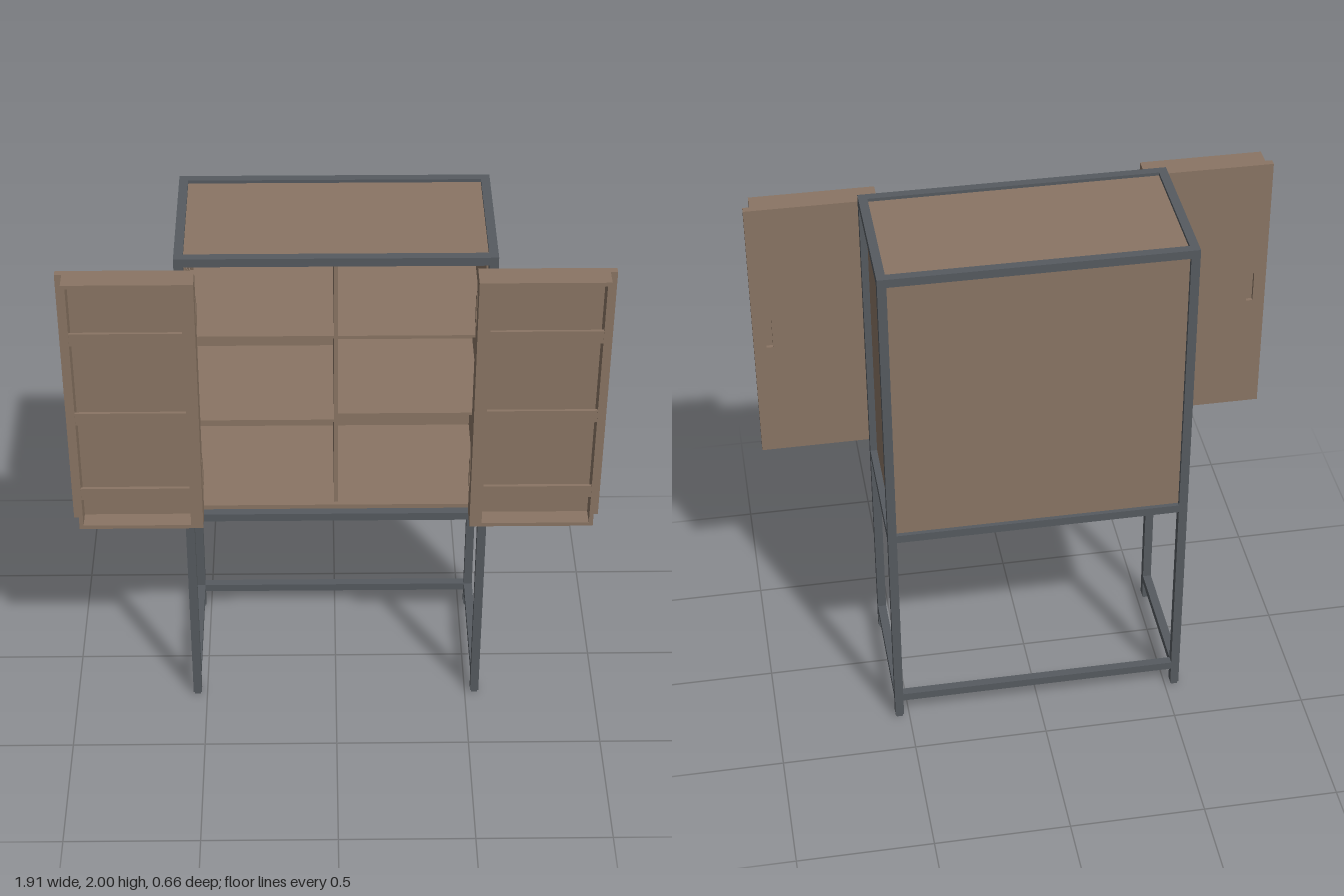
import * as THREE from 'three';

const steel = new THREE.MeshStandardMaterial({ color: 0x565b60 });
steel.name = 'dark steel';
const wood = new THREE.MeshStandardMaterial({ color: 0x8a7564 });
wood.name = 'brown wood';

// Box given by its limits on each axis
function box(parent, name, mat, [x0, x1], [y0, y1], [z0, z1]) {
  const mesh = new THREE.Mesh(new THREE.BoxGeometry(Math.abs(x1 - x0), y1 - y0, z1 - z0), mat);
  mesh.position.set((x0 + x1) / 2, (y0 + y1) / 2, (z0 + z1) / 2);
  mesh.name = name;
  parent.add(mesh);
  return mesh;
}

function rectangle(Type, x0, x1, y0, y1) {
  return new Type([[x0, y0], [x1, y0], [x1, y1], [x0, y1]].map(p => new THREE.Vector2(...p)));
}

const X = 0.553, ZF = 0.223, ZB = -0.328, T = 0.032;

function createFrame() {
  const frame = new THREE.Group();
  frame.name = 'frame';
  const across = [-X + T, X - T], along = [ZB + T, ZF - T];
  const front = [ZF - T, ZF], back = [ZB, ZB + T];
  for (const s of [-1, 1]) {
    const side = [s * (X - T), s * X];
    // Posts on slightly narrower feet
    for (const z of [front, back]) {
      box(frame, 'post', steel, side, [0.012, 2], z);
      box(frame, 'foot', steel, [s * (X - T + 0.004), s * (X - 0.004)], [0, 0.012], [z[0] + 0.004, z[1] - 0.004]);
    }
    for (const y of [0.083, 0.862, 2 - T]) box(frame, 'sideRail', steel, side, [y, y + T], along);
  }
  for (const y of [0.862, 2 - T]) box(frame, 'frontRail', steel, across, [y, y + T], front);
  for (const y of [0.083, 0.862, 2 - T]) box(frame, 'backRail', steel, across, [y, y + T], back);
  return frame;
}

// Side wall pierced by staggered rows of round holes
function perforatedWall() {
  const z0 = -0.297, z1 = 0.192, y0 = 0.88, y1 = 1.98;
  const shape = rectangle(THREE.Shape, z0, z1, y0, y1);
  const step = 0.055;
  for (let row = 0; row < 37; row++) {
    const odd = row % 2;
    for (let i = 0; i < 8 - odd; i++) {
      const hole = new THREE.Path();
      hole.absarc(-0.245 + (i + odd / 2) * step, 0.935 + row * step / 2, 0.007, 0, Math.PI * 2, true);
      shape.holes.push(hole);
    }
  }
  const geo = new THREE.ExtrudeGeometry(shape, { depth: 0.014, bevelEnabled: false, curveSegments: 8 });
  geo.rotateY(-Math.PI / 2);
  const mesh = new THREE.Mesh(geo, wood);
  mesh.position.x = -0.514;
  mesh.name = 'perforatedWall';
  return mesh;
}

function createCabinet() {
  const cabinet = new THREE.Group();
  cabinet.name = 'cabinet';
  const inner = [-0.514, 0.514], depth = [-0.297, 0.192];
  box(cabinet, 'topPanel', wood, [-0.521, 0.521], [1.965, 1.988], depth);
  box(cabinet, 'bottomPanel', wood, [-0.521, 0.521], [0.88, 0.912], depth);
  box(cabinet, 'backPanel', wood, [-0.521, 0.521], [0.88, 1.98], [-0.312, -0.297]);
  box(cabinet, 'plainWall', wood, [0.514, 0.528], [0.88, 1.98], depth);
  cabinet.add(perforatedWall());
  // Divider and shelves
  box(cabinet, 'divider', wood, [-0.007, 0.007], [0.912, 1.965], [-0.297, 0.175]);
  for (const y of [1.638, 1.275]) box(cabinet, 'shelf', wood, [inner[0], -0.007], [y, y + 0.01], [-0.297, 0.172]);
  for (const y of [1.638, 1.302]) box(cabinet, 'shelf', wood, [0.007, inner[1]], [y, y + 0.01], [-0.297, 0.172]);
  return cabinet;
}

function createDoor(s) {
  const door = new THREE.Group();
  door.name = s > 0 ? 'leftDoor' : 'rightDoor';
  const y0 = 0.915, y1 = 1.965, back = 0.236, mid = 0.262, front = 0.328;
  const span = (a, b) => [s * a, s * b];

  // Outer skin with a recessed finger pull
  const lim = (a, b) => [Math.min(s * a, s * b), Math.max(s * a, s * b)];
  const skin = rectangle(THREE.Shape, ...lim(0.482, 0.955), y0, y1);
  skin.holes.push(rectangle(THREE.Path, ...lim(0.885, 0.91), 1.38, 1.5));
  const panel = new THREE.Mesh(new THREE.ExtrudeGeometry(skin, { depth: 0.014, bevelEnabled: false }), wood);
  panel.position.z = back;
  panel.name = 'doorSkin';
  door.add(panel);
  box(door, 'doorBack', wood, span(0.482, 0.955), [y0, y1], [back + 0.014, mid]);

  // Tray rim
  box(door, 'hingeStile', wood, span(0.482, 0.526), [y0, y1], [mid, front]);
  box(door, 'outerStile', wood, span(0.915, 0.93), [y0, y1], [mid, front]);
  box(door, 'topRim', wood, span(0.526, 0.915), [1.95, y1], [mid, front]);
  box(door, 'bottomRim', wood, span(0.526, 0.915), [y0, 0.93], [mid, front]);

  // Storage shelves with raised front lips
  for (const y of [1.716, 1.38, 1.046]) {
    box(door, 'doorShelf', wood, span(0.526, 0.915), [y, y + 0.01], [mid, front - 0.002]);
    box(door, 'shelfLip', wood, span(0.526, 0.915), [y + 0.01, y + 0.05], [front - 0.012, front - 0.002]);
  }

  // Hinge plates on the inner edge
  for (const y of [1.05, 1.75]) box(door, 'hingePlate', wood, span(0.479, 0.482), [y, y + 0.12], [back + 0.002, back + 0.03]);
  return door;
}

export function createModel() {
  const model = new THREE.Group();
  model.name = 'cabinetOnStand';
  model.add(createFrame(), createCabinet(), createDoor(1), createDoor(-1));
  return model;
}
